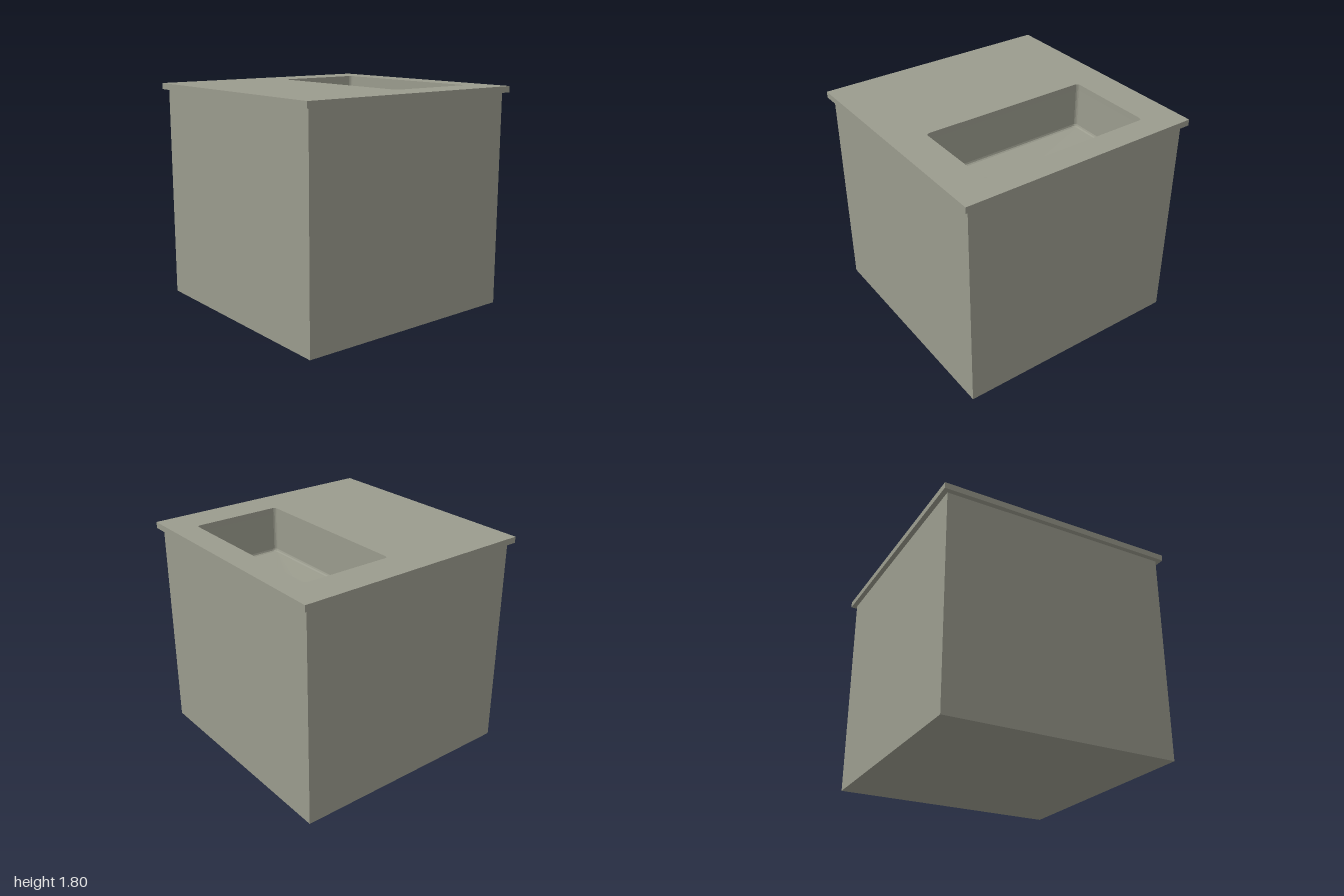
import * as THREE from 'three';

const TOP = 1.8, UNDER = 1.75;
const BASIN = { x: 0.42, w: 0.745, d: 1.43, drain: 0.09 };

// Rounded rectangle as a loop of points, shrunk by inset
function loop(inset, r, n = 4) {
  const hx = BASIN.w / 2 - inset, hz = BASIN.d / 2 - inset, pts = [];
  [[1, 1], [-1, 1], [-1, -1], [1, -1]].forEach(([sx, sz], q) => {
    for (let i = 0; i <= n; i++) {
      const a = (q + i / n) * Math.PI / 2;
      pts.push(new THREE.Vector2(sx * (hx - r) + r * Math.cos(a), sz * (hz - r) + r * Math.sin(a)));
    }
  });
  return pts;
}

// Joins the basin loops into walls
function loft(rings) {
  const pos = [], index = [], n = rings[0].pts.length;
  rings.forEach(({ pts, y }) => pts.forEach(p => pos.push(p.x, y, p.y)));
  for (let k = 0; k < rings.length - 1; k++) {
    for (let i = 0; i < n; i++) {
      const a = k * n + i, b = k * n + (i + 1) % n;
      index.push(a, b, a + n, b, b + n, a + n);
    }
  }
  const g = new THREE.BufferGeometry();
  g.setAttribute('position', new THREE.Float32BufferAttribute(pos, 3));
  g.setIndex(index);
  g.computeVertexNormals();
  return g;
}

export function createModel() {
  const model = new THREE.Group();
  const mat = new THREE.MeshStandardMaterial({ color: 0x9b9c8e, flatShading: true, side: THREE.DoubleSide });
  const add = (name, geometry, x = 0, y = 0, parent = model) => {
    const mesh = new THREE.Mesh(geometry, mat);
    mesh.name = name;
    mesh.position.set(x, y, 0);
    parent.add(mesh);
    return mesh;
  };

  // Cabinet: a box without its top face, so that the basin can hang inside
  const box = new THREE.BoxGeometry(1.92, UNDER, 1.92);
  const faces = Array.from(box.index.array);
  faces.splice(12, 6);
  box.setIndex(faces);
  box.clearGroups();
  add('cabinet', box, 0, UNDER / 2);

  // Countertop with the basin cut-out
  const slab = new THREE.Shape([[-1, -1], [1, -1], [1, 1], [-1, 1]].map(p => new THREE.Vector2(...p)));
  slab.holes.push(new THREE.Path(loop(0, 0.03).map(p => p.add(new THREE.Vector2(BASIN.x, 0)))));
  const top = new THREE.ExtrudeGeometry(slab, { depth: TOP - UNDER, bevelEnabled: false });
  top.rotateX(-Math.PI / 2);
  add('countertop', top, 0, UNDER);

  // Basin walls with a narrow ledge and a softened lower edge
  const basin = new THREE.Group();
  basin.name = 'basin';
  basin.position.x = BASIN.x;
  model.add(basin);
  const floorY = 1.42;
  add('basinWalls', loft([
    { pts: loop(0, 0.03), y: UNDER },
    { pts: loop(0.004, 0.03), y: floorY + 0.02 },
    { pts: loop(0.009, 0.03), y: floorY + 0.007 },
    { pts: loop(0.02, 0.03), y: floorY },
  ]), 0, 0, basin);

  // Floor falling gently to the drain
  const fall = 0.012;
  const floorShape = new THREE.Shape(loop(0.02, 0.03));
  floorShape.holes.push(new THREE.Path().absarc(0, 0, BASIN.drain, 0, Math.PI * 2, true));
  const floor = new THREE.ShapeGeometry(floorShape, 12);
  floor.rotateX(-Math.PI / 2);
  const p = floor.attributes.position;
  for (let i = 0; i < p.count; i++) {
    if (Math.hypot(p.getX(i), p.getZ(i)) < BASIN.drain + 0.01) p.setY(i, -fall);
  }
  floor.computeVertexNormals();
  add('basinFloor', floor, 0, floorY, basin);

  // Drain recess
  const depth = 0.02;
  add('drainWall', new THREE.CylinderGeometry(BASIN.drain, BASIN.drain, depth, 24, 1, true), 0, floorY - fall - depth / 2, basin);
  add('drainBottom', new THREE.CircleGeometry(BASIN.drain, 24).rotateX(-Math.PI / 2), 0, floorY - fall - depth, basin);

  return model;
}
